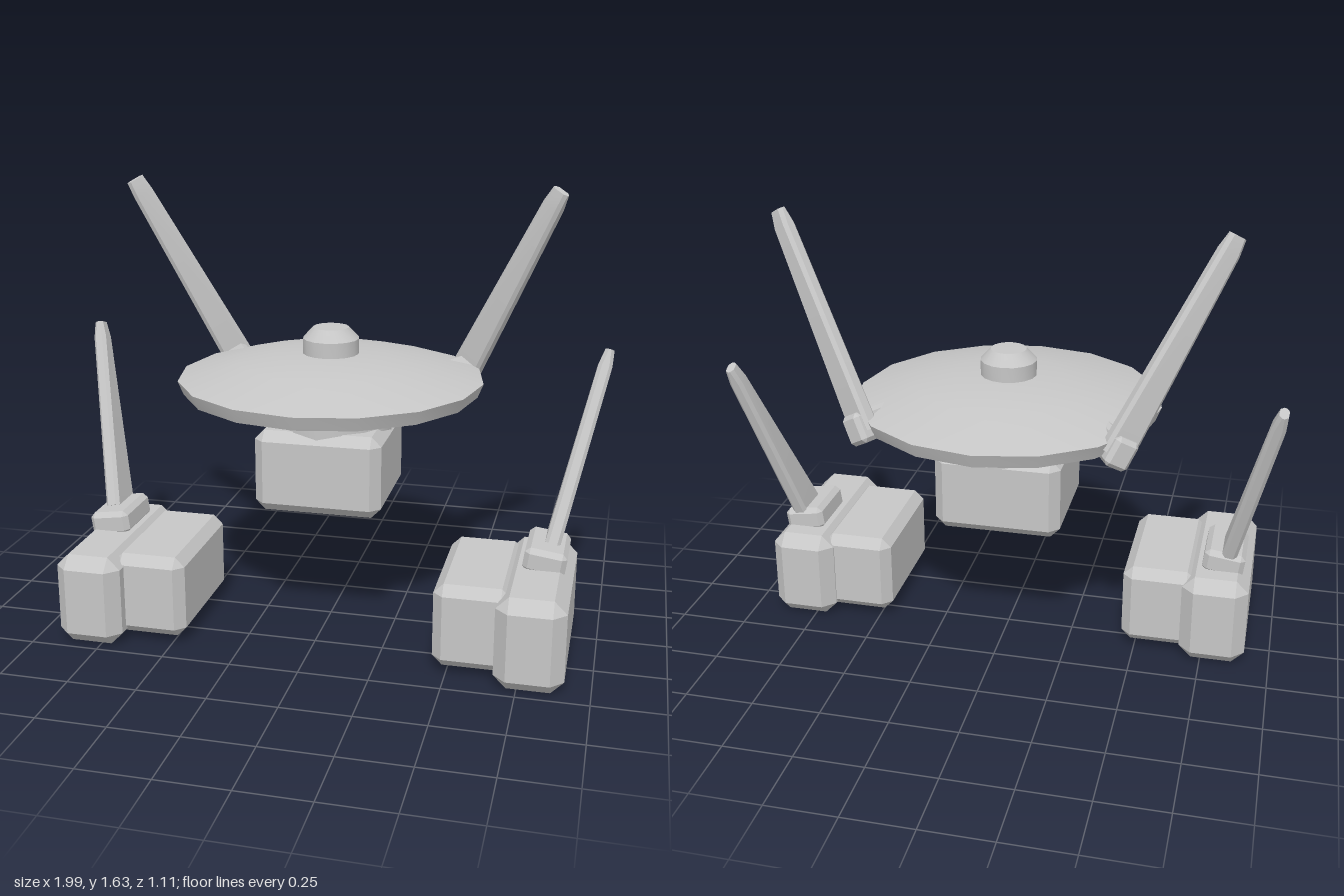
import * as THREE from 'three';
import { toCreasedNormals } from 'three/addons/utils/BufferGeometryUtils.js';
import { ConvexGeometry } from 'three/addons/geometries/ConvexGeometry.js';

const V = (x, y, z) => new THREE.Vector3(x, y, z);
const grey = new THREE.MeshStandardMaterial({ color: 0xc6c6c6 });
grey.name = 'lightGrey';

export function createModel() {
  const model = new THREE.Group();
  model.name = 'dishAndPods';

  function add(name, geometry, parent = model) {
    const mesh = new THREE.Mesh(geometry, grey);
    mesh.name = name;
    parent.add(mesh);
  }

  // Convex solid from points, mirrored in x when side is -1
  const hull = (points, side = 1) =>
    toCreasedNormals(new ConvexGeometry(points.map(p => V(p.x * side, p.y, p.z))), 0.3);

  // Box with chamfered edges and corners along any three axes
  function chamferBox(center, size, c, axes = [V(1, 0, 0), V(0, 1, 0), V(0, 0, 1)]) {
    const points = [];
    for (const sx of [-1, 1]) for (const sy of [-1, 1]) for (const sz of [-1, 1])
      for (let full = 0; full < 3; full++) {
        const p = center.clone();
        [sx, sy, sz].forEach((s, i) =>
          p.addScaledVector(axes[i], s * (size[i] / 2 - (i === full ? 0 : c))));
        points.push(p);
      }
    return points;
  }

  // Axes of a blade: wide direction, length, thickness
  function bladeAxes(base, tip, wideHint) {
    const along = tip.clone().sub(base).normalize();
    const wide = wideHint.clone().addScaledVector(along, -wideHint.dot(along)).normalize();
    return [wide, along, wide.clone().cross(along).normalize()];
  }

  // Tapered blade from three chamfered cross-sections
  function blade(base, tip, [wide, along, thin], w0, t0, w1, t1) {
    const length = base.distanceTo(tip);
    const sections = [[0, w0, t0], [length - 0.06, w1, t1], [length, w1 * 0.85, t1 * 0.65]];
    const points = [];
    for (const [d, w, t] of sections)
      for (const a of [-1, 1]) for (const b of [-1, 1])
        for (const [ca, cb] of [[0, 0.012], [0.012, 0]])
          points.push(base.clone().addScaledVector(along, d)
            .addScaledVector(wide, a * (w / 2 - ca))
            .addScaledVector(thin, b * (t / 2 - cb)));
    return points;
  }

  function lathe(profile, sides) {
    const points = profile.map(([r, y]) => new THREE.Vector2(r, y));
    return toCreasedNormals(new THREE.LatheGeometry(points, sides), 0.5);
  }

  // Saucer, top knob, neck and central block
  add('dish', lathe([[0, 0.83], [0.3, 0.84], [0.535, 0.89], [0.555, 0.94],
    [0.34, 1.0], [0.2, 1.02], [0, 1.03]], 16));
  add('knob', lathe([[0, 1.0], [0.102, 1.0], [0.102, 1.08], [0.065, 1.12], [0, 1.122]], 16));
  add('neck', lathe([[0, 0.74], [0.225, 0.74], [0.225, 0.85], [0, 0.85]], 16));
  add('centralBlock', hull(chamferBox(V(0, 0.63, 0.01), [0.46, 0.3, 0.46], 0.035)));

  for (const side of [1, -1]) {
    const prefix = side > 0 ? 'left' : 'right';

    // Pod of two overlapping blocks with an antenna on its mount
    const pod = new THREE.Group();
    pod.name = prefix + 'Pod';
    model.add(pod);
    add('outerBlock', hull(chamferBox(V(0.79, 0.168, 0.17), [0.24, 0.336, 0.64], 0.045), side), pod);
    add('innerBlock', hull(chamferBox(V(0.585, 0.178, 0.155), [0.27, 0.305, 0.51], 0.035), side), pod);

    const tilt = 0.14;
    add('antennaMount', hull(chamferBox(V(0.81, 0.36, 0.08), [0.15, 0.09, 0.24], 0.018,
      [V(Math.cos(tilt), -Math.sin(tilt), 0), V(Math.sin(tilt), Math.cos(tilt), 0), V(0, 0, 1)]), side), pod);
    const podBase = V(0.825, 0.38, 0.045), podTip = V(0.98, 1.04, -0.208);
    const podAxes = bladeAxes(podBase, podTip, V(0, 0, 1));
    add('podAntenna', hull(blade(podBase, podTip, podAxes, 0.15, 0.055, 0.066, 0.05), side), pod);

    // Long antenna clipped to the rear rim of the dish
    const base = V(0.44, 0.89, -0.322), tip = V(0.785, 1.61, -0.14);
    const axes = bladeAxes(base, tip, V(0.89, 0, 0.46));
    add(prefix + 'DishAntenna', hull(blade(base, tip, axes, 0.115, 0.055, 0.075, 0.05), side));
    add(prefix + 'DishClip', hull(chamferBox(V(0.43, 0.903, -0.285), [0.09, 0.11, 0.18], 0.015, axes), side));
  }
  return model;
}
